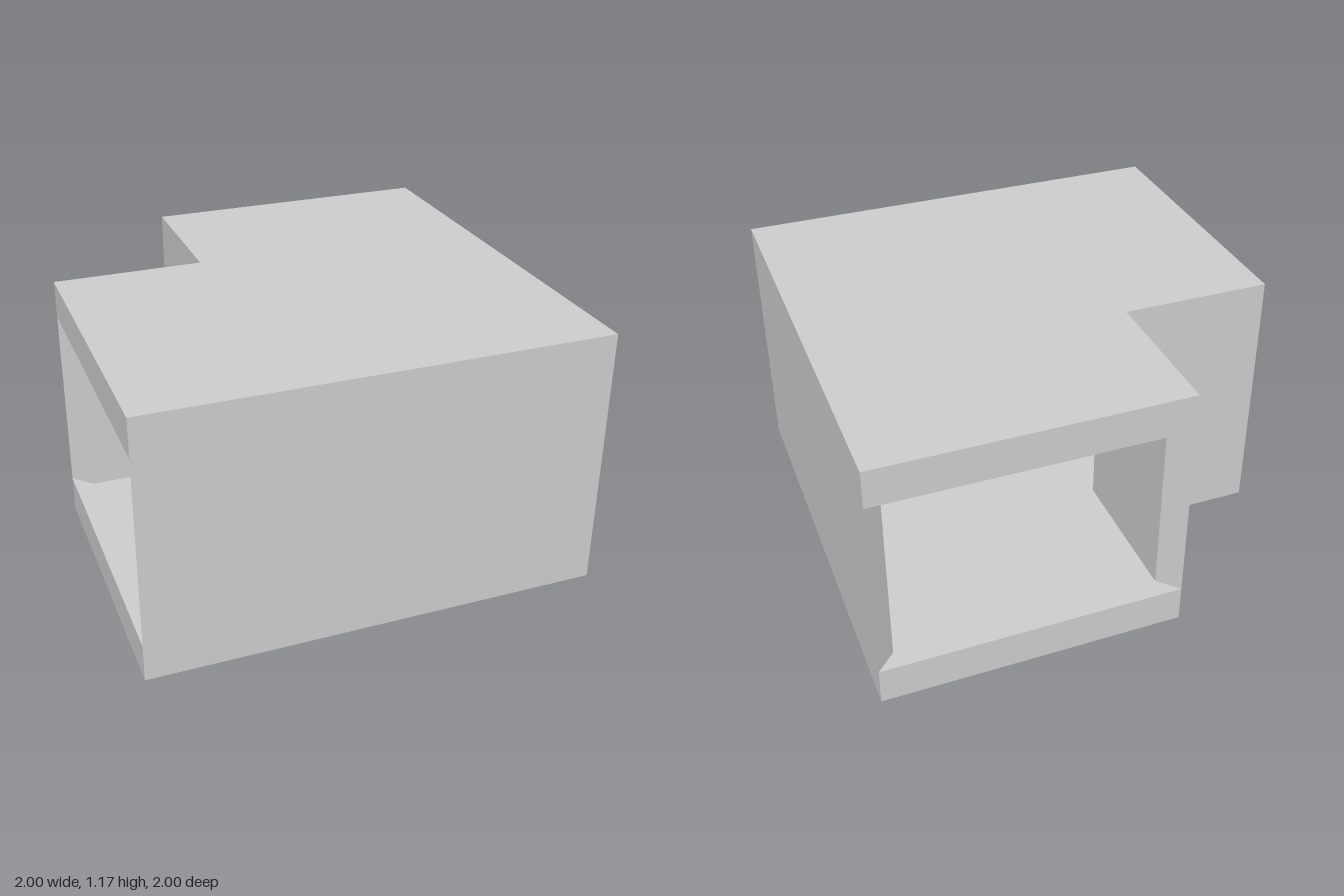
import * as THREE from 'three';

const HEIGHT = 7 / 6;  // overall height
const SLAB = 1 / 6;    // floor and ceiling thickness
const WALL = 1 / 12;   // wall thickness, also the bevel at each open end
const N = -1 / 3;      // position of the inner corner on x and z

const material = new THREE.MeshStandardMaterial({ color: 0xcccccc, flatShading: true });

// Extrudes a plan outline of [x, z] points downwards from the height yTop.
function slabFromPlan(name, points, yTop, thickness) {
  const shape = new THREE.Shape(points.map(([x, z]) => new THREE.Vector2(x, z)));
  const geometry = new THREE.ExtrudeGeometry(shape, { depth: thickness, bevelEnabled: false });
  geometry.rotateX(Math.PI / 2);
  geometry.translate(0, yTop, 0);
  const mesh = new THREE.Mesh(geometry, material);
  mesh.name = name;
  return mesh;
}

export function createModel() {
  const group = new THREE.Group();
  group.name = 'corridorCorner';

  // L-shaped floor and ceiling
  const plan = [[-1, 1], [1, 1], [1, -1], [N, -1], [N, N], [-1, N]];
  group.add(slabFromPlan('floor', plan, SLAB, SLAB));
  group.add(slabFromPlan('ceiling', plan, HEIGHT, SLAB));

  // Walls between the slabs, tapering to a sharp edge at both openings
  const i = 1 - WALL;
  const outer = [[-1, 1], [1, 1], [1, -1], [i, -i], [i, i], [-i, i]];
  const m = N + WALL;
  const inner = [[N, -1], [N, N], [-1, N], [-i, m], [m, m], [m, -i]];
  const wallHeight = HEIGHT - 2 * SLAB;
  group.add(slabFromPlan('outerWall', outer, HEIGHT - SLAB, wallHeight));
  group.add(slabFromPlan('innerCornerWall', inner, HEIGHT - SLAB, wallHeight));

  return group;
}
